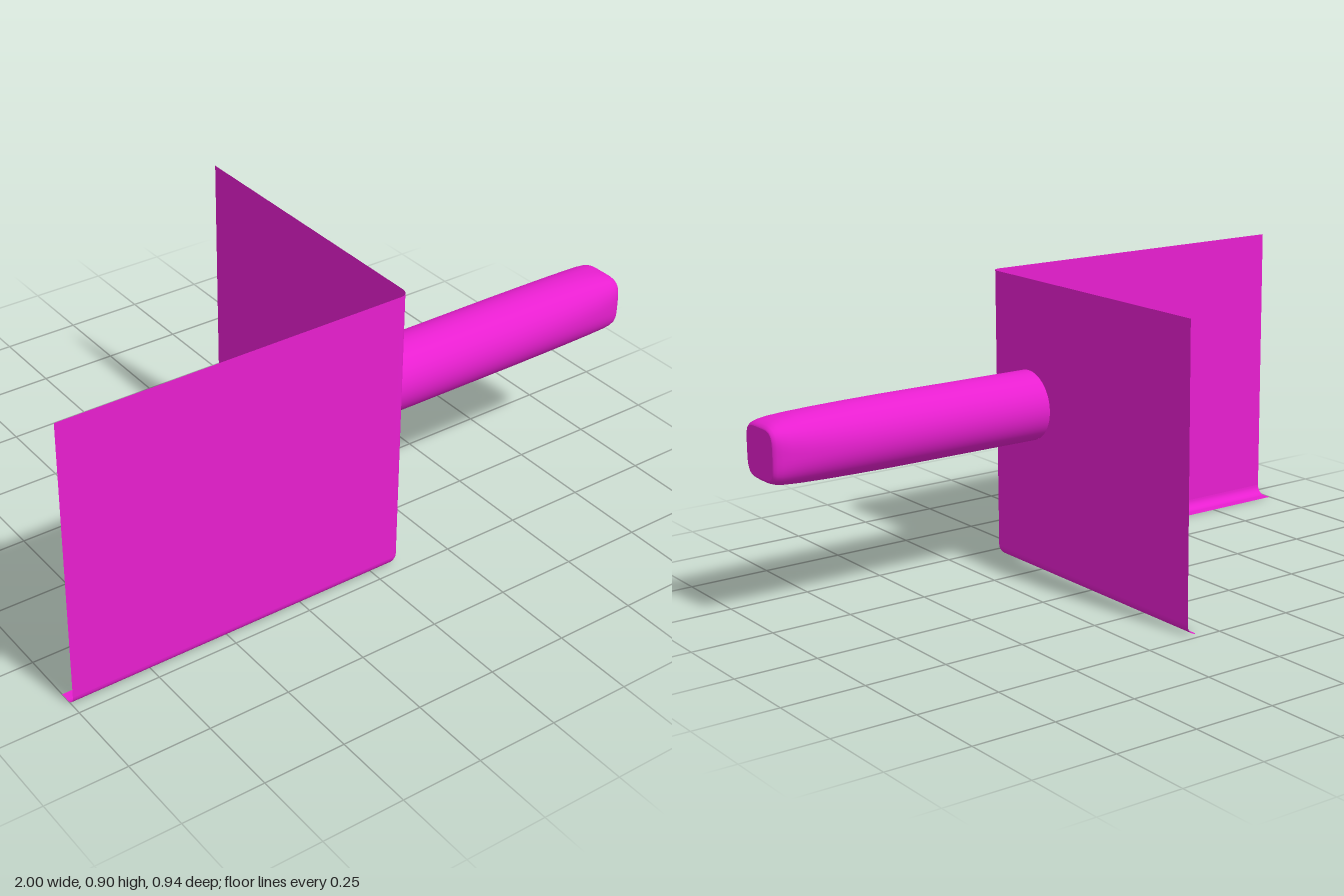
import * as THREE from 'three';
import { mergeVertices } from 'three/addons/utils/BufferGeometryUtils.js';

const R = 0.03;                          // bend radius of the sheet
const LEFT = -1, BACK = -0.475, TOP = 0.9;
const CX = 0.065, CZ = 0.44;             // axis of the vertical corner bend
const PEG = { y: 0.515, z: 0.28, r: 0.107 };

// Smooth surface from a function of two integer steps
function grid(nu, nv, fn) {
  const pos = [], idx = [];
  for (let i = 0; i <= nu; i++) for (let j = 0; j <= nv; j++) pos.push(...fn(i, j));
  for (let i = 0; i < nu; i++) for (let j = 0; j < nv; j++) {
    const a = i * (nv + 1) + j, b = a + nv + 1;
    idx.push(a, b, b + 1, a, b + 1, a + 1);
  }
  let geo = new THREE.BufferGeometry();
  geo.setAttribute('position', new THREE.Float32BufferAttribute(pos, 3));
  geo.setIndex(idx);
  geo = mergeVertices(geo, 1e-5);
  geo.computeVertexNormals();
  return geo;
}

export function createModel() {
  const group = new THREE.Group();
  const material = new THREE.MeshStandardMaterial({ color: 0xe81fd0, side: THREE.DoubleSide });
  const add = (name, geo) => {
    const mesh = new THREE.Mesh(geo, material);
    mesh.name = name;
    group.add(mesh);
  };

  // Plan path of the sheet: along the front, round the corner, along the side
  const path = [[LEFT, CZ, 0, 1]];
  const N = 8;
  for (let i = 0; i <= N; i++) {
    const a = (i / N) * Math.PI / 2;
    path.push([CX, CZ, Math.sin(a), Math.cos(a)]);
  }
  path.push([CX, BACK, 1, 0]);
  const sweep = (steps, profile) => grid(steps.length - 1, profile.length - 1, (i, j) => {
    const [x, z, nx, nz] = steps[i], [out, y] = profile[j];
    return [x + nx * out, y, z + nz * out];
  });

  // Rounded bottom edge, curling inward under both walls
  const bend = [];
  for (let j = 0; j <= N; j++) {
    const a = (j / N) * Math.PI / 2;
    bend.push([R * Math.sin(a), R - R * Math.cos(a)]);
  }
  add('bottomBend', sweep(path, bend));

  // Front wall and rounded vertical corner
  const upright = [[R, R], [R, TOP]];
  add('frontWall', sweep(path.slice(0, 2), upright));
  add('cornerBend', sweep(path.slice(1, -1), upright));

  // Flat lip behind the front bend
  add('frontLip', grid(1, 1, (i, j) => [i ? CX : LEFT, 0, j ? CZ : 0.41]));

  // Side wall with the round opening of the hollow peg
  const wall = new THREE.Shape();
  wall.moveTo(-CZ, R).lineTo(-BACK, R).lineTo(-BACK, TOP).lineTo(-CZ, TOP).closePath();
  wall.holes.push(new THREE.Path().absarc(-PEG.z, PEG.y, PEG.r, 0, Math.PI * 2, true));
  const side = new THREE.ShapeGeometry(wall, 48);
  side.rotateY(Math.PI / 2).translate(CX + R, 0, 0);
  add('sideWall', side);

  // Peg: round at the wall, blending to a rounded square at the tip
  const SEG = 64;
  const ring = (i, x, r, n) => {
    const t = ((i % SEG) / SEG) * Math.PI * 2, c = Math.cos(t), s = Math.sin(t);
    const k = r / Math.pow(Math.abs(c) ** n + Math.abs(s) ** n, 1 / n);
    return [x, PEG.y + c * k, PEG.z + s * k];
  };
  // x, half width, squareness
  const stations = [
    [CX + R, 0.107, 2], [0.35, 0.107, 2], [0.6, 0.107, 2], [0.72, 0.1055, 2.05],
    [0.82, 0.103, 2.15], [0.9, 0.099, 2.35], [0.95, 0.094, 2.7], [0.975, 0.089, 3.1],
    [0.99, 0.083, 3.6], [0.998, 0.077, 4.1], [1, 0.072, 4.5],
  ];
  add('peg', grid(SEG, stations.length - 1, (i, j) => ring(i, ...stations[j])));
  add('pegTip', grid(SEG, 1, (i, j) => ring(i, 1, j ? 0 : 0.072, 4.5)));

  return group;
}
